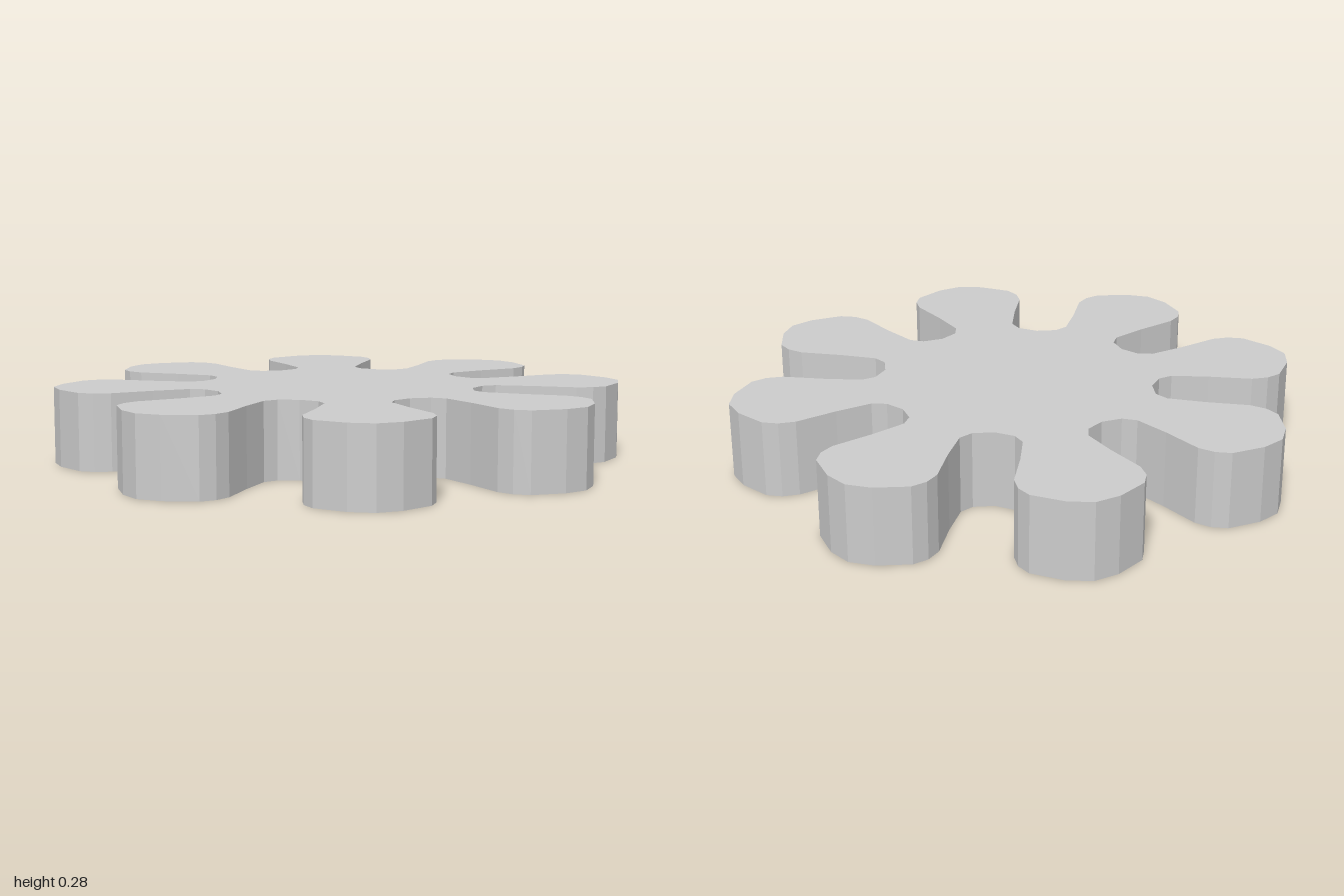
import * as THREE from 'three';

const HEIGHT = 0.285;
const LOBES = 8;

// Half a lobe as [x, y]: from the middle of a notch out to just before the lobe tip
const HALF_LOBE = [
  [0, 0.506], [0.075, 0.526], [0.11, 0.57], [0.123, 0.709],
  [0.127, 0.87], [0.15, 0.928], [0.193, 0.97], [0.316, 0.998],
];
const TIP_RADIUS = 1.069;

function outline() {
  const step = (2 * Math.PI) / LOBES;
  // Polar form: angle is measured from the notch centre
  const half = HALF_LOBE.map(([x, y]) => ({ a: Math.atan2(x, y), r: Math.hypot(x, y) }));
  const mirrored = half.slice(1).reverse().map(({ a, r }) => ({ a: step - a, r }));
  const lobe = [...half, { a: step / 2, r: TIP_RADIUS }, ...mirrored];

  const points = [];
  for (let i = 0; i < LOBES; i++) {
    for (const { a, r } of lobe) {
      const angle = a + i * step;
      points.push(new THREE.Vector2(r * Math.sin(angle), r * Math.cos(angle)));
    }
  }
  return new THREE.Shape(points);
}

export function createModel() {
  const group = new THREE.Group();
  group.name = 'lobedWheel';

  // Faceted slab lying flat on the ground
  const geometry = new THREE.ExtrudeGeometry(outline(), { depth: HEIGHT, bevelEnabled: false });
  geometry.rotateX(-Math.PI / 2);
  const material = new THREE.MeshStandardMaterial({ color: 0xcccccc, flatShading: true });
  const body = new THREE.Mesh(geometry, material);
  body.name = 'lobedBody';
  group.add(body);
  return group;
}
